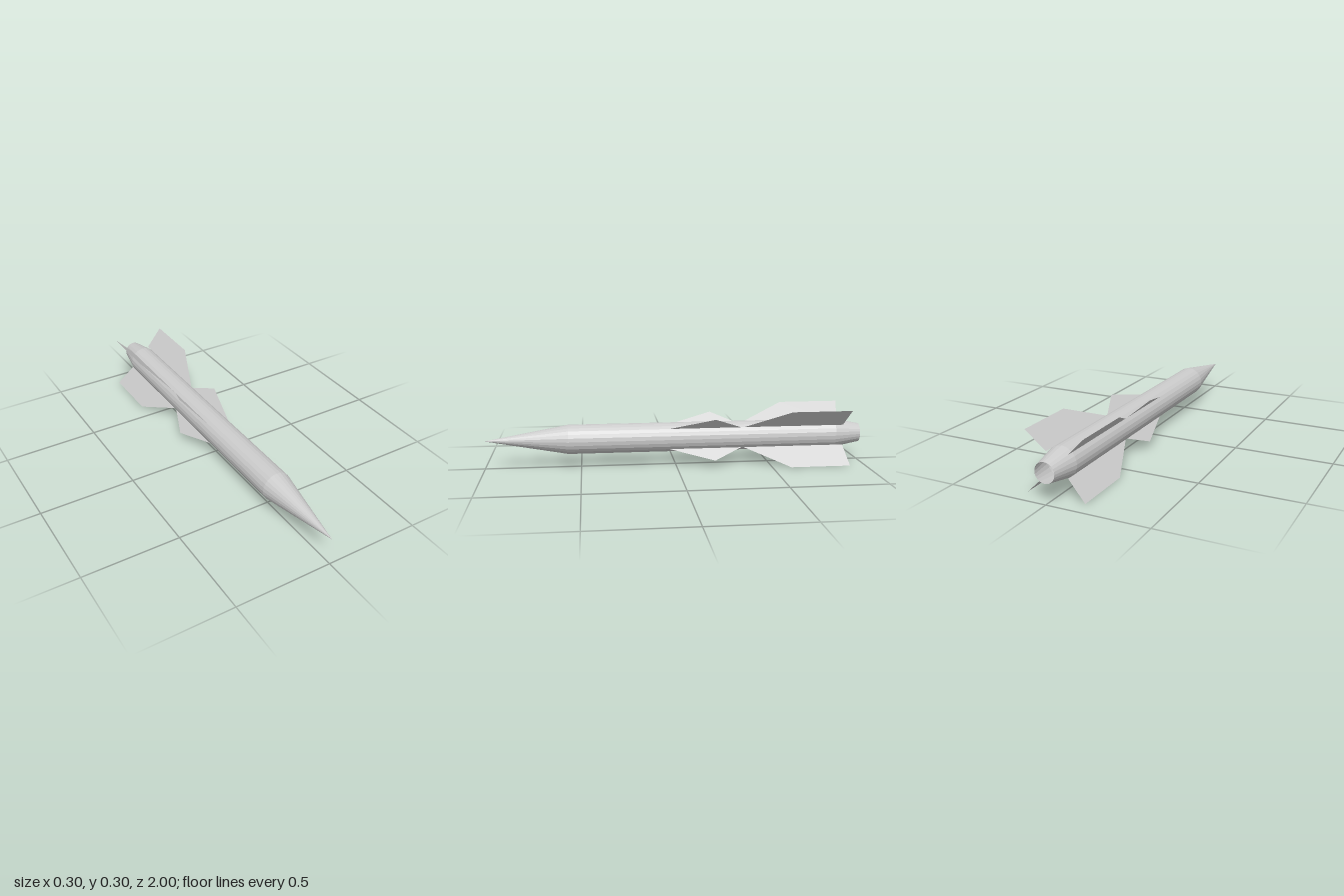
import * as THREE from 'three';

const AXIS_Y = 0.148; // height of the body axis
const RADIUS = 0.077;
const SIDES = 24;

export function createModel() {
  const model = new THREE.Group();
  model.name = 'missile';
  const material = new THREE.MeshStandardMaterial({
    color: 0xcccccc, flatShading: true, side: THREE.DoubleSide,
  });

  // Open hull section along z, from the front radius to the back radius
  function section(name, zFront, zBack, rFront, rBack) {
    const geometry = new THREE.CylinderGeometry(rFront, rBack, zFront - zBack, SIDES, 1, true);
    geometry.rotateX(Math.PI / 2);
    const mesh = new THREE.Mesh(geometry, material);
    mesh.name = name;
    mesh.position.set(0, AXIS_Y, (zFront + zBack) / 2);
    model.add(mesh);
  }
  section('noseCone', 1, 0.565, 0, RADIUS);
  section('body', 0.565, -0.86, RADIUS, RADIUS);
  section('nozzle', -0.86, -1, RADIUS, 0.05);

  // Four flat fins on the diagonals; outline points are [z, radius]
  function finSet(name, outline) {
    const shape = new THREE.Shape(outline.map(([z, r]) => new THREE.Vector2(r, z)));
    const geometry = new THREE.ShapeGeometry(shape).rotateX(Math.PI / 2);
    const set = new THREE.Group();
    set.name = name + 's';
    set.position.y = AXIS_Y;
    for (let i = 0; i < 4; i++) {
      const fin = new THREE.Mesh(geometry, material);
      fin.name = name;
      fin.rotation.z = Math.PI / 4 + i * Math.PI / 2;
      set.add(fin);
    }
    model.add(set);
  }
  finSet('frontFin', [[0.035, RADIUS], [-0.2, 0.155], [-0.345, RADIUS]]);
  finSet('tailFin', [[-0.36, RADIUS], [-0.6, 0.209], [-0.918, 0.209], [-0.9, RADIUS]]);

  return model;
}
